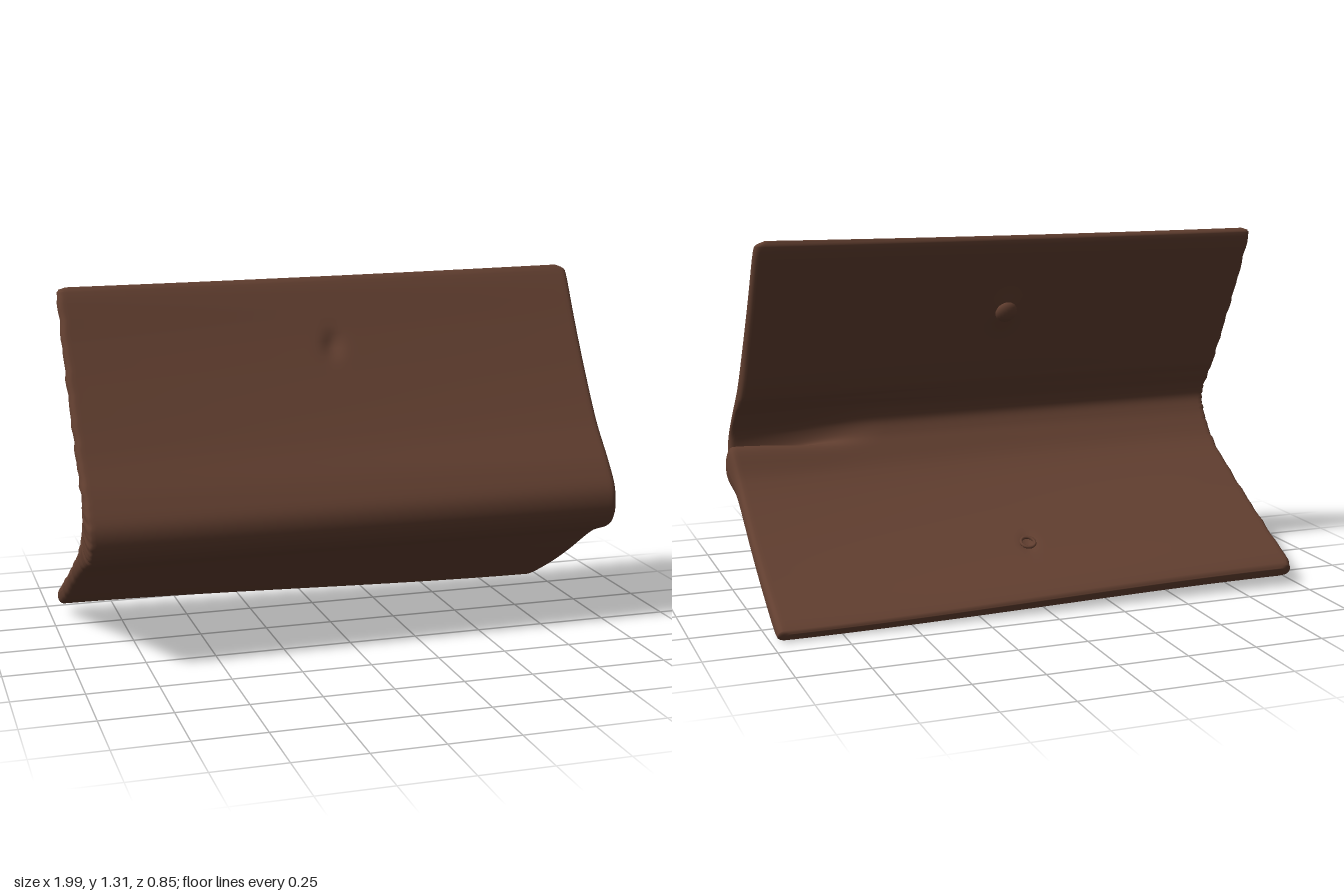
import * as THREE from 'three';

const brown = new THREE.MeshStandardMaterial({ color: 0x623f30 });
brown.name = 'brown leather';

// Fold profiles as [z, y], running from the top edge round the fold to the bottom edge
const OUT_LEFT = [[0.025, 1.3], [0.04, 1.285], [0.12, 1.11], [0.21, 0.93], [0.3, 0.76], [0.385, 0.62], [0.422, 0.53],
  [0.408, 0.455], [0.36, 0.402], [0.24, 0.35], [0, 0.232], [-0.2, 0.127], [-0.4, 0.04], [-0.42, 0.042]];
const IN_LEFT = [[0.01, 1.3], [0, 1.285], [0.07, 1.1], [0.155, 0.92], [0.235, 0.755], [0.3, 0.645], [0.313, 0.595],
  [0.297, 0.55], [0.268, 0.505], [0.205, 0.435], [0, 0.31], [-0.2, 0.205], [-0.42, 0.09], [-0.43, 0.07]];
const OUT_RIGHT = [[-0.065, 1.315], [-0.05, 1.295], [0.044, 1.11], [0.142, 0.93], [0.247, 0.76], [0.35, 0.62], [0.392, 0.53],
  [0.382, 0.45], [0.33, 0.392], [0.22, 0.34], [0, 0.2], [-0.2, 0.085], [-0.375, 0.002], [-0.395, 0.006]];
const IN_RIGHT = [[-0.075, 1.315], [-0.08, 1.295], [0, 1.1], [0.087, 0.92], [0.187, 0.735], [0.277, 0.65], [0.3, 0.588],
  [0.288, 0.543], [0.26, 0.5], [0.2, 0.42], [0, 0.268], [-0.2, 0.15], [-0.403, 0.042], [-0.408, 0.028]];
// Opening between the leaves at the +x end of the fold
const NOTCH = { 6: [0.045, -0.028], 7: [0.06, -0.063], 8: [0.028, 0.033] };

const { lerp, smoothstep } = THREE.MathUtils;
const gauss = (d, r) => Math.exp(-(d * d) / (r * r));

function sectionCurve(left, right, s, notch) {
  const open = notch ? smoothstep(s, 0.7, 0.99) : 0;
  // The upper leaf leans back steadily towards +x, its top edge rising late
  const lean = 1 - (1 - s) ** 1.2;
  const lower = smoothstep(s, 0, 1);
  return new THREE.CatmullRomCurve3(left.map(([z, y], i) => {
    const [dz, dy] = NOTCH[i] || [0, 0];
    const low = smoothstep(i, 3, 9);
    const tz = lerp(lean, s, low), ty = lerp(s * s, lower, low);
    return new THREE.Vector3(0, lerp(y, right[i][1], ty) + dy * open, lerp(z, right[i][0], tz) + dz * open);
  }));
}

// Where each end of the cover lies, with rounded corners and a slightly worn edge
function endX(v, s) {
  const edge = Math.min(v, 13 - v);
  const corner = 0.035 * Math.max(0, 1 - edge / 1.4) ** 2;
  const wear = 0.0015 * Math.sin(v * 9) + 0.002 * Math.sin(v * 29);
  const left = lerp(-0.995, -0.97, Math.min(v / 5, 1)) + corner + wear;
  const right = lerp(0.948, 0.98, Math.min(v / 7, 1)) + 0.018 * gauss(v - 8, 0.7) - corner;
  return lerp(left, right, s);
}

// Pressed and raised details, as offsets along z (front and back) or y (lower leaf)
function addRelief(p, front, v) {
  if (front) {
    // Dimple in the front leaf
    p.z -= 0.018 * gauss(Math.hypot(p.x + 0.02, p.y - 1.07), 0.035);
  } else if (v < 5.5) {
    // Swelling round the stud, and ridges along the fold
    p.z -= 0.014 * gauss(Math.hypot(p.x + 0.01, p.y - 1.02), 0.06);
    p.z -= 0.004 * (gauss(v - 4.15, 0.12) + gauss(v - 4.6, 0.12));
  } else if (v > 9) {
    // Dimple in the upper face of the lower leaf
    p.y -= 0.016 * gauss(Math.hypot(p.x + 0.01, p.z + 0.168), 0.025);
  }
}

function coverGeometry() {
  const N = 91, uniform = 150;
  const ends = [0, 0.0005, 0.002, 0.004, 0.007];
  const stations = [...ends];
  for (let k = 0; k <= uniform; k++) stations.push(lerp(0.011, 0.989, k / uniform));
  stations.push(...ends.map((e) => 1 - e).reverse());

  const pos = [], index = [];
  const ring = 2 * (N + 1);
  for (const s of stations) {
    const outer = sectionCurve(OUT_LEFT, OUT_RIGHT, s, false).getPoints(N);
    const inner = sectionCurve(IN_LEFT, IN_RIGHT, s, true).getPoints(N);
    const d = Math.min(1, Math.min(s, 1 - s) / 0.011);
    const round = Math.sqrt(1 - (1 - d) ** 2);
    for (let i = 0; i < ring; i++) {
      const front = i <= N;
      const j = front ? i : ring - 1 - i;
      const v = (j / N) * 13;
      const mid = outer[j].clone().add(inner[j]).multiplyScalar(0.5);
      const p = (front ? outer : inner)[j].clone();
      p.x = mid.x = endX(v, s);
      addRelief(p, front, v);
      p.lerp(mid, 1 - round);
      pos.push(p.x, p.y, p.z);
    }
  }
  for (let k = 0; k < stations.length - 1; k++) {
    for (let i = 0; i < ring; i++) {
      const a = k * ring + i, b = k * ring + ((i + 1) % ring);
      index.push(a, b, a + ring, b, b + ring, a + ring);
    }
  }
  const geo = new THREE.BufferGeometry();
  geo.setAttribute('position', new THREE.Float32BufferAttribute(pos, 3));
  geo.setIndex(index);
  geo.computeVertexNormals();
  return geo;
}

export function createModel() {
  const group = new THREE.Group();
  group.name = 'foldedCover';

  const cover = new THREE.Mesh(coverGeometry(), brown);
  cover.name = 'cover';
  group.add(cover);

  // Stud on the back of the upper leaf
  const stud = new THREE.Mesh(new THREE.SphereGeometry(0.042, 20, 14), brown);
  stud.name = 'stud';
  stud.scale.set(1, 1, 0.6);
  stud.rotation.x = -0.46;
  stud.position.set(-0.01, 1.015, 0.062);
  group.add(stud);

  // Raised rim round the dimple of the lower leaf
  const rim = new THREE.Mesh(new THREE.TorusGeometry(0.026, 0.006, 8, 24), brown);
  rim.name = 'dimpleRim';
  rim.rotation.x = -Math.PI / 2 - 0.5;
  rim.position.set(-0.01, 0.194, -0.168);
  group.add(rim);

  return group;
}
